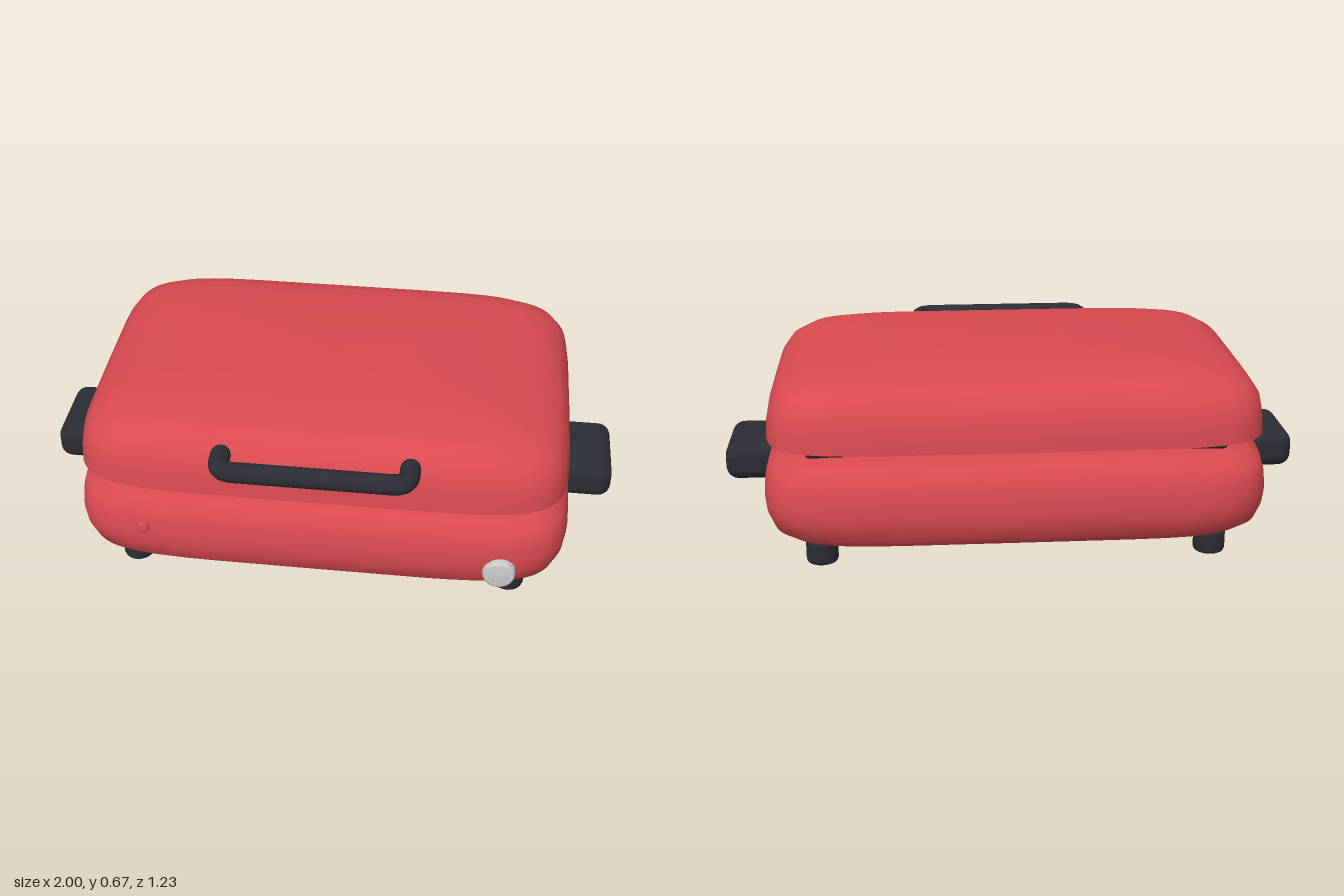
import * as THREE from 'three';
import { RoundedBoxGeometry } from 'three/addons/geometries/RoundedBoxGeometry.js';

const ZC = -0.04; // depth centre of the body
const SEG = 72;

// Smooth shell lofted through rounded-rectangle rings [halfX, halfZ, y], bottom to top
function loft(rings, n = 6.5) {
  const pos = [], idx = [];
  const pow = (v) => Math.sign(v) * Math.pow(Math.abs(v), 2 / n);
  for (const [hx, hz, y] of rings) {
    for (let i = 0; i < SEG; i++) {
      const a = (i / SEG) * Math.PI * 2;
      pos.push(hx * pow(Math.cos(a)), y, ZC + hz * pow(Math.sin(a)));
    }
  }
  for (let r = 0; r < rings.length - 1; r++) {
    for (let i = 0; i < SEG; i++) {
      const j = (i + 1) % SEG;
      const a = r * SEG + i, b = r * SEG + j, c = a + SEG, d = b + SEG;
      idx.push(a, c, b, b, c, d);
    }
  }
  const g = new THREE.BufferGeometry();
  g.setAttribute('position', new THREE.Float32BufferAttribute(pos, 3));
  g.setIndex(idx);
  g.computeVertexNormals();
  return g;
}

export function createModel() {
  const model = new THREE.Group();
  model.name = 'tabletopGrill';
  const mat = (name, color) => {
    const m = new THREE.MeshStandardMaterial({ color });
    m.name = name;
    return m;
  };
  const red = mat('red enamel', 0xd94a50);
  const dark = mat('dark plastic', 0x2b2d34);
  const silver = mat('silver', 0xcccccc);

  const add = (name, geo, material, x = 0, y = 0, z = 0) => {
    const m = new THREE.Mesh(geo, material);
    m.name = name;
    m.position.set(x, y, z);
    model.add(m);
    return m;
  };

  // Lower body
  add('base', loft([
    [0.001, 0.001, 0.078], [0.4, 0.25, 0.078], [0.6, 0.4, 0.082], [0.7, 0.47, 0.09],
    [0.78, 0.53, 0.108], [0.825, 0.562, 0.14], [0.845, 0.574, 0.19], [0.85, 0.58, 0.24],
    [0.845, 0.573, 0.295], [0.83, 0.562, 0.345], [0.79, 0.53, 0.373], [0.72, 0.475, 0.388],
    [0.55, 0.38, 0.394], [0.3, 0.2, 0.396], [0.001, 0.001, 0.396],
  ]), red);

  // Domed lid and its flat underside
  add('lid', loft([
    [0.835, 0.566, 0.437], [0.832, 0.562, 0.49], [0.82, 0.553, 0.55], [0.79, 0.525, 0.594],
    [0.73, 0.48, 0.63], [0.65, 0.42, 0.649], [0.54, 0.34, 0.66], [0.4, 0.25, 0.667],
    [0.2, 0.12, 0.67], [0.001, 0.001, 0.671],
  ]), red);
  add('lidUnderside', loft([[0.001, 0.001, 0.437], [0.835, 0.566, 0.437]]), red);

  // Dark plate between base and lid
  add('cookingPlate', new RoundedBoxGeometry(1.4, 0.056, 0.89, 3, 0.015), dark, 0, 0.412, -0.035);

  // Lid handle: bar with bent, rounded ends
  const hx = 0.31, hz = 0.58, bend = 0.055, endZ = 0.495;
  const v = (x, z) => new THREE.Vector3(x, 0.585, z);
  const path = new THREE.CurvePath();
  path.add(new THREE.LineCurve3(v(-hx, endZ), v(-hx, hz - bend)));
  path.add(new THREE.QuadraticBezierCurve3(v(-hx, hz - bend), v(-hx, hz), v(-hx + bend, hz)));
  path.add(new THREE.LineCurve3(v(-hx + bend, hz), v(hx - bend, hz)));
  path.add(new THREE.QuadraticBezierCurve3(v(hx - bend, hz), v(hx, hz), v(hx, hz - bend)));
  path.add(new THREE.LineCurve3(v(hx, hz - bend), v(hx, endZ)));
  add('lidHandle', new THREE.TubeGeometry(path, 120, 0.034, 16), dark);

  // Foot profile with softened edges
  const footGeo = new THREE.LatheGeometry([
    [0, 0], [0.044, 0], [0.051, 0.004], [0.054, 0.012],
    [0.054, 0.07], [0.051, 0.078], [0.044, 0.082], [0, 0.082],
  ].map(([x, y]) => new THREE.Vector2(x, y)), 24);

  for (const s of [1, -1]) {
    const side = s > 0 ? 'left' : 'right';
    add(side + 'HandleEnd', new THREE.SphereGeometry(0.034, 16, 12), dark, s * hx, 0.585, endZ);
    add(side + 'SideHandle', new RoundedBoxGeometry(0.24, 0.13, 0.31, 4, 0.045), dark, s * 0.88, 0.265, ZC);
    add(side + 'FrontFoot', footGeo, dark, s * 0.66, 0, 0.355);
    add(side + 'BackFoot', footGeo, dark, s * 0.66, 0, -0.425);
  }

  // Round front controls with a slightly domed face
  const button = (r) => new THREE.LatheGeometry([
    [r, 0], [r, 0.045], [r * 0.94, 0.055], [r * 0.8, 0.059], [0, 0.06],
  ].map(([x, y]) => new THREE.Vector2(x, y)), 28);
  add('controlKnob', button(0.055), silver, 0.62, 0.2, 0.492).rotation.x = Math.PI / 2;
  add('indicatorLight', button(0.022), red, -0.585, 0.277, 0.488).rotation.x = Math.PI / 2;

  return model;
}
